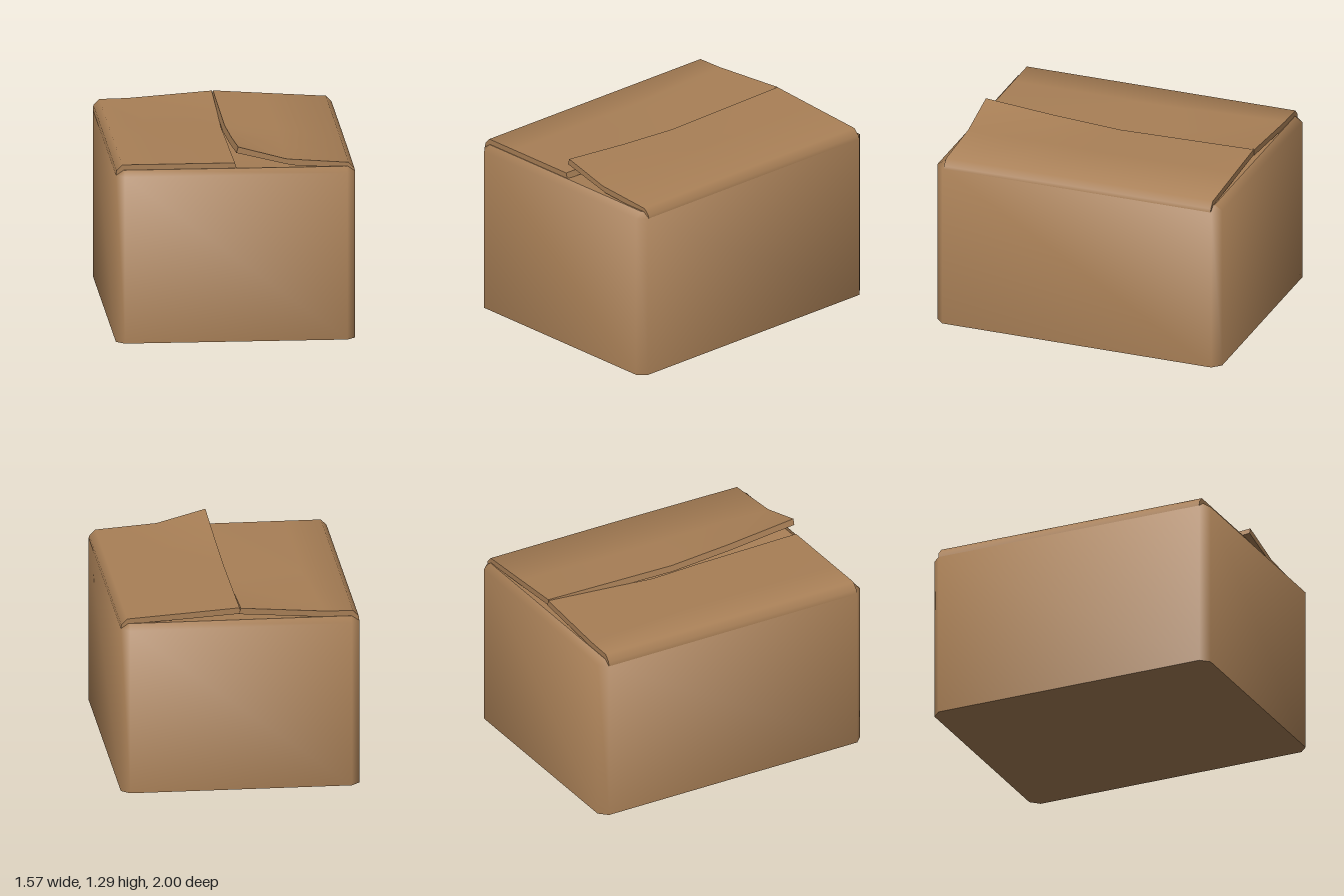
import * as THREE from 'three';
import { mergeVertices } from 'three/addons/utils/BufferGeometryUtils.js';

const cardboard = new THREE.MeshStandardMaterial({ color: 0xa87f56 });
cardboard.name = 'cardboard';

// Smooth normals weighted by corner angle, giving the soft, slightly bulging card
function smoothNormals(geo) {
  const pos = geo.attributes.position, idx = geo.index.array;
  const normals = Array.from({ length: pos.count }, () => new THREE.Vector3());
  for (let t = 0; t < idx.length; t += 3) {
    const ids = [idx[t], idx[t + 1], idx[t + 2]];
    const p = ids.map((i) => new THREE.Vector3().fromBufferAttribute(pos, i));
    const n = p[1].clone().sub(p[0]).cross(p[2].clone().sub(p[0]));
    if (n.length() < 1e-9) continue;
    n.normalize();
    for (let k = 0; k < 3; k++) {
      const a = p[(k + 1) % 3].clone().sub(p[k]);
      const b = p[(k + 2) % 3].clone().sub(p[k]);
      normals[ids[k]].addScaledVector(n, a.angleTo(b));
    }
  }
  const out = normals.flatMap((n) => n.normalize().toArray());
  geo.setAttribute('normal', new THREE.Float32BufferAttribute(out, 3));
  return geo;
}

// Surface through rows of points; it faces (row direction) x (column direction)
function sheet(name, rows) {
  const w = rows[0].length, index = [];
  for (let j = 0; j < rows.length - 1; j++) {
    for (let i = 0; i < w - 1; i++) {
      const a = j * w + i, b = a + 1, d = a + w, c = d + 1;
      index.push(a, d, c, a, c, b);
    }
  }
  const geo = new THREE.BufferGeometry();
  geo.setAttribute('position', new THREE.Float32BufferAttribute(rows.flat(2), 3));
  geo.setIndex(index);
  const mesh = new THREE.Mesh(smoothNormals(mergeVertices(geo, 1e-5)), cardboard);
  mesh.name = name;
  return mesh;
}

// Rectangle with cut corners, closed
function ring(x, z, cut, y) {
  const r = [
    [x - cut, y, z], [cut - x, y, z], [-x, y, z - cut], [-x, y, cut - z],
    [cut - x, y, -z], [x - cut, y, -z], [x, y, cut - z], [x, y, z - cut],
  ];
  return [...r, r[0]];
}

// Top flap folded over from a side wall. Each section runs from fold to seam.
function flap(name, side, sections) {
  const order = side > 0 ? sections : [...sections].reverse();
  const outer = order.map(({ z, top }) => top.map(([x, y]) => [side * x, y, z]));
  const inner = order.map(({ z, under }) => under.map(([x, y]) => [side * x, y, z]));
  const last = outer.length - 1;
  const seam = (rows) => rows.map((r) => r[r.length - 1]);
  const g = new THREE.Group();
  g.name = name;
  g.add(
    sheet('flapTop', outer),
    sheet('flapUnderside', [...inner].reverse()),
    sheet('flapEndEdge', [inner[0], outer[0]]),
    sheet('flapEndEdge', [outer[last], inner[last]]),
    sheet('flapSeamEdge', [seam(inner), seam(outer)]),
  );
  return g;
}

// One flap section: fold height, height part way across and height at the seam
function section(z, foldY, midX, midY, seamX, seamY) {
  return {
    z,
    top: [[0.787, 1.115], [0.783, foldY - 0.04], [0.745, foldY], [midX, midY], [seamX, seamY]],
    under: [[0.735, 1.115], [0.734, 1.135], [0.725, foldY - 0.035],
      [midX + 0.03, midY - 0.042], [seamX - 0.012, seamY - 0.04]],
  };
}

export function createModel() {
  const model = new THREE.Group();
  model.name = 'cardboardBox';

  // Walls with cut corners, bevelled in at the top
  const foot = ring(0.787, 1, 0.055, 0);
  const lip = ring(0.735, 0.948, 0.004, 1.155);
  model.add(sheet('walls', [foot, ring(0.787, 1, 0.055, 1.12), lip]));

  // Bottom
  const point = (y) => foot.map(() => [0, y, 0]);
  model.add(sheet('bottom', [point(0), foot]));

  // Short end flaps folded in, sagging towards the middle
  model.add(sheet('innerFlaps', [lip, ring(0.73, 0.5, 0.004, 1.11), point(1.11)]));

  // Right-hand flap, lifted at the front corner
  model.add(flap('raisedFlap', 1, [
    section(0.935, 1.178, 0.34, 1.208, 0.018, 1.295),
    section(0.45, 1.182, 0.34, 1.208, 0.010, 1.25),
    section(0.0, 1.185, 0.34, 1.208, 0.004, 1.22),
    section(-0.94, 1.185, 0.34, 1.212, 0.003, 1.235),
  ]));

  // Left-hand flap, lying flat in front, dented halfway, lifted at the back
  model.add(flap('flatFlap', -1, [
    section(0.942, 1.19, 0.5, 1.19, 0.004, 1.19),
    section(0.2, 1.19, 0.5, 1.192, 0.008, 1.183),
    section(-0.15, 1.19, 0.5, 1.194, 0.008, 1.172),
    section(-0.945, 1.19, 0.56, 1.193, 0.005, 1.233),
  ]));

  return model;
}
